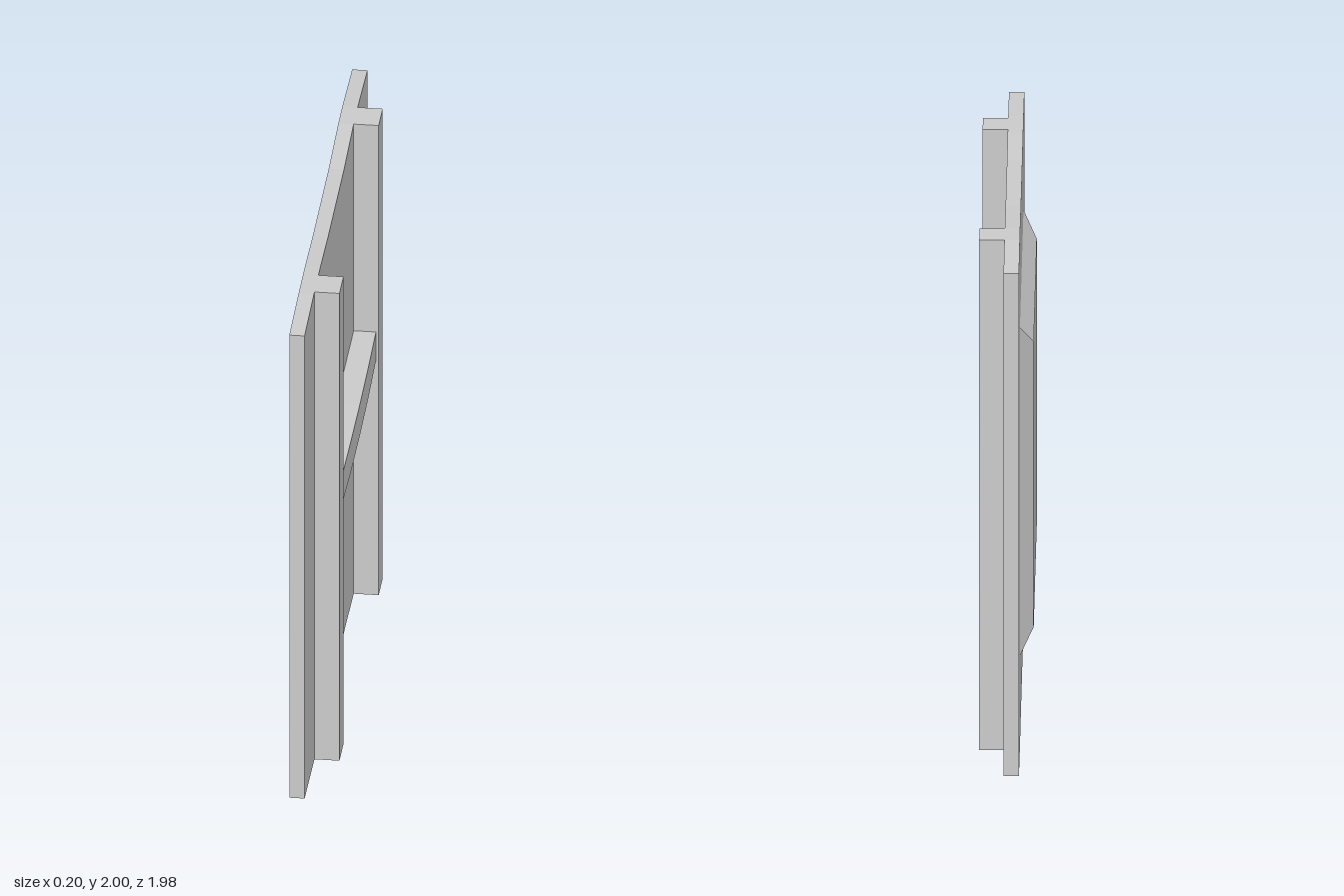
import * as THREE from 'three';

const material = new THREE.MeshStandardMaterial({ color: 0xcccccc, flatShading: true });

// Extrudes a [z, y] outline along x, from x0 to x1
function slab(name, outline, x0, x1) {
  const shape = new THREE.Shape(outline.map(([z, y]) => new THREE.Vector2(-z, y)));
  const geometry = new THREE.ExtrudeGeometry(shape, { depth: x1 - x0, bevelEnabled: false });
  geometry.rotateY(Math.PI / 2).translate(x0, 0, 0);
  const mesh = new THREE.Mesh(geometry, material);
  mesh.name = name;
  return mesh;
}

// Box whose -x face is shrunk to leave four sloping borders
function raisedField() {
  const [y0, y1, z, inset] = [0.34, 1.66, 0.66, 0.1];
  const geometry = new THREE.BoxGeometry(0.06, y1 - y0, 2 * z);
  const p = geometry.attributes.position;
  for (let i = 0; i < p.count; i++) {
    if (p.getX(i) > 0) continue;
    p.setY(i, p.getY(i) - Math.sign(p.getY(i)) * inset);
    p.setZ(i, p.getZ(i) - Math.sign(p.getZ(i)) * inset);
  }
  geometry.translate(-0.07, (y0 + y1) / 2, 0);
  geometry.computeVertexNormals();
  const mesh = new THREE.Mesh(geometry, material);
  mesh.name = 'raisedField';
  return mesh;
}

export function createModel() {
  const model = new THREE.Group();
  model.name = 'panelledShutter';

  // Board with slightly worn, wavy top and bottom edges
  const bottom = [[0.99, 0.01], [0.68, 0], [0.55, 0], [0.3, 0.01], [-0.3, 0.01], [-0.55, 0], [-0.68, 0], [-0.99, 0.01]];
  const top = [[-0.99, 1.98], [-0.8, 1.993], [-0.68, 2], [-0.55, 2], [-0.4, 1.99], [-0.25, 1.98],
    [0.25, 1.98], [0.5, 1.99], [0.7, 1.99], [0.99, 1.98]];
  model.add(slab('board', [...bottom, ...top], -0.05, 0.007));
  model.add(raisedField());

  // Upright battens
  for (const [name, z, height] of [['frontBatten', 0.617, 1.99], ['rearBatten', -0.617, 2]]) {
    const w = 0.0625;
    model.add(slab(name, [[z + w, 0], [z - w, 0], [z - w, height], [z + w, height]], 0, 0.1));
  }

  // Cross rail, bowed a little towards the middle
  const rail = new THREE.BoxGeometry(0.09, 0.12, 1.11, 1, 1, 4);
  const p = rail.attributes.position;
  for (let i = 0; i < p.count; i++) {
    const bow = 1 - Math.pow(p.getZ(i) / 0.555, 2);
    p.setY(i, p.getY(i) + Math.sign(p.getY(i)) * 0.006 * bow);
    if (p.getX(i) > 0) p.setX(i, p.getX(i) + 0.005 * bow);
  }
  rail.translate(0.045, 1.06, 0);
  rail.computeVertexNormals();
  const railMesh = new THREE.Mesh(rail, material);
  railMesh.name = 'crossRail';
  model.add(railMesh);

  return model;
}
